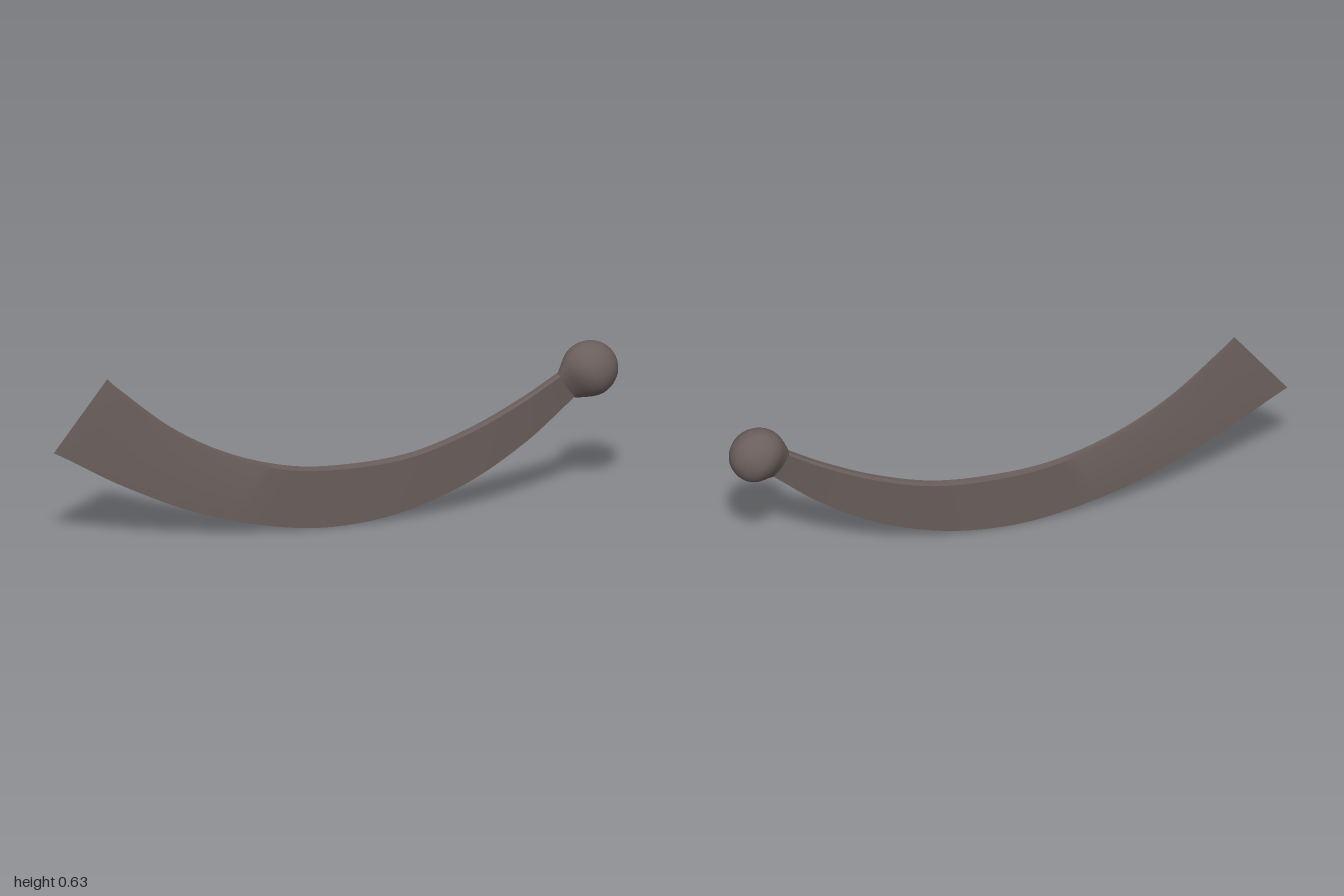
import * as THREE from 'three';
import { toCreasedNormals } from 'three/addons/utils/BufferGeometryUtils.js';

const V = (x, y, z = 0) => new THREE.Vector3(x, y, z);
const curve = (pts) => new THREE.CatmullRomCurve3(pts.map((p) => V(...p)), false, 'catmullrom', 0.5);

// Skins a list of closed rings with equal point counts.
function loft(rings, crease) {
  const n = rings[0].length;
  const index = [];
  for (let i = 0; i < rings.length - 1; i++) {
    for (let j = 0; j < n; j++) {
      const k = (j + 1) % n;
      const a = i * n + j, b = i * n + k, c = a + n, d = b + n;
      index.push(a, b, c, b, d, c);
    }
  }
  const geometry = new THREE.BufferGeometry().setFromPoints(rings.flat());
  geometry.setIndex(index);
  return toCreasedNormals(geometry, crease);
}

// Curved wedge: thick bevelled inner edge, sharp outer edge and sharp tip.
function bladeGeometry() {
  const inner = curve([[-0.81, 0.63], [-0.76, 0.58], [-0.58, 0.425], [-0.38, 0.31], [-0.16, 0.24],
    [0.05, 0.225], [0.27, 0.245], [0.48, 0.315], [0.66, 0.405], [0.79, 0.485]]);
  const outer = curve([[-1, 0.375], [-0.94, 0.34], [-0.75, 0.225], [-0.5, 0.105], [-0.25, 0.03],
    [-0.02, 0], [0.22, 0.025], [0.46, 0.11], [0.67, 0.24], [0.85, 0.395]]);
  const steps = 72;
  const rings = [];
  for (let i = 0; i <= steps; i++) {
    const u = i / steps;
    const top = inner.getPoint(u);
    const low = outer.getPoint(u);
    // The tip bevels to an edge; the body thickens toward the pommel.
    const w = Math.min(u * 9, 1) * (0.0035 + 0.0135 * u);
    const at = (v, z) => low.clone().lerp(top, v).setZ(z);
    rings.push([at(1, -w * 0.6), at(1, w * 0.6), at(0.95, w), at(0, 0), at(0.95, -w)]);
  }
  return loft(rings, 0.35);
}

// Egg-shaped knob that swells out of the narrow end of the blade.
function knobGeometry() {
  const base = V(0.818, 0.436);
  const axis = V(0.82, 0.57).normalize();
  const side = V(-axis.y, axis.x);
  // Each point: distance along the axis, half height, half depth.
  const profile = curve([[0, 0.056, 0.018], [0.02, 0.069, 0.034], [0.05, 0.087, 0.061],
    [0.075, 0.097, 0.076], [0.1, 0.1, 0.082], [0.13, 0.095, 0.078], [0.16, 0.08, 0.066],
    [0.18, 0.06, 0.05], [0.193, 0.036, 0.03], [0.198, 0.018, 0.015], [0.2, 0, 0]]);
  const sections = [V(0, 0, 0), ...profile.getPoints(40)];
  const rings = sections.map((s) => Array.from({ length: 40 }, (_, j) => {
    const t = (j / 40) * Math.PI * 2;
    return base.clone().addScaledVector(axis, s.x)
      .addScaledVector(side, Math.cos(t) * s.y)
      .add(V(0, 0, Math.sin(t) * s.z));
  }));
  return loft(rings, 0.9);
}

export function createModel() {
  const group = new THREE.Group();
  group.name = 'curvedBlade';
  const darkMetal = new THREE.MeshStandardMaterial({ color: 0x6b5f5c });
  darkMetal.name = 'dark metal';

  const blade = new THREE.Mesh(bladeGeometry(), darkMetal);
  blade.name = 'blade';
  const knob = new THREE.Mesh(knobGeometry(), darkMetal);
  knob.name = 'knob';
  group.add(blade, knob);
  return group;
}
